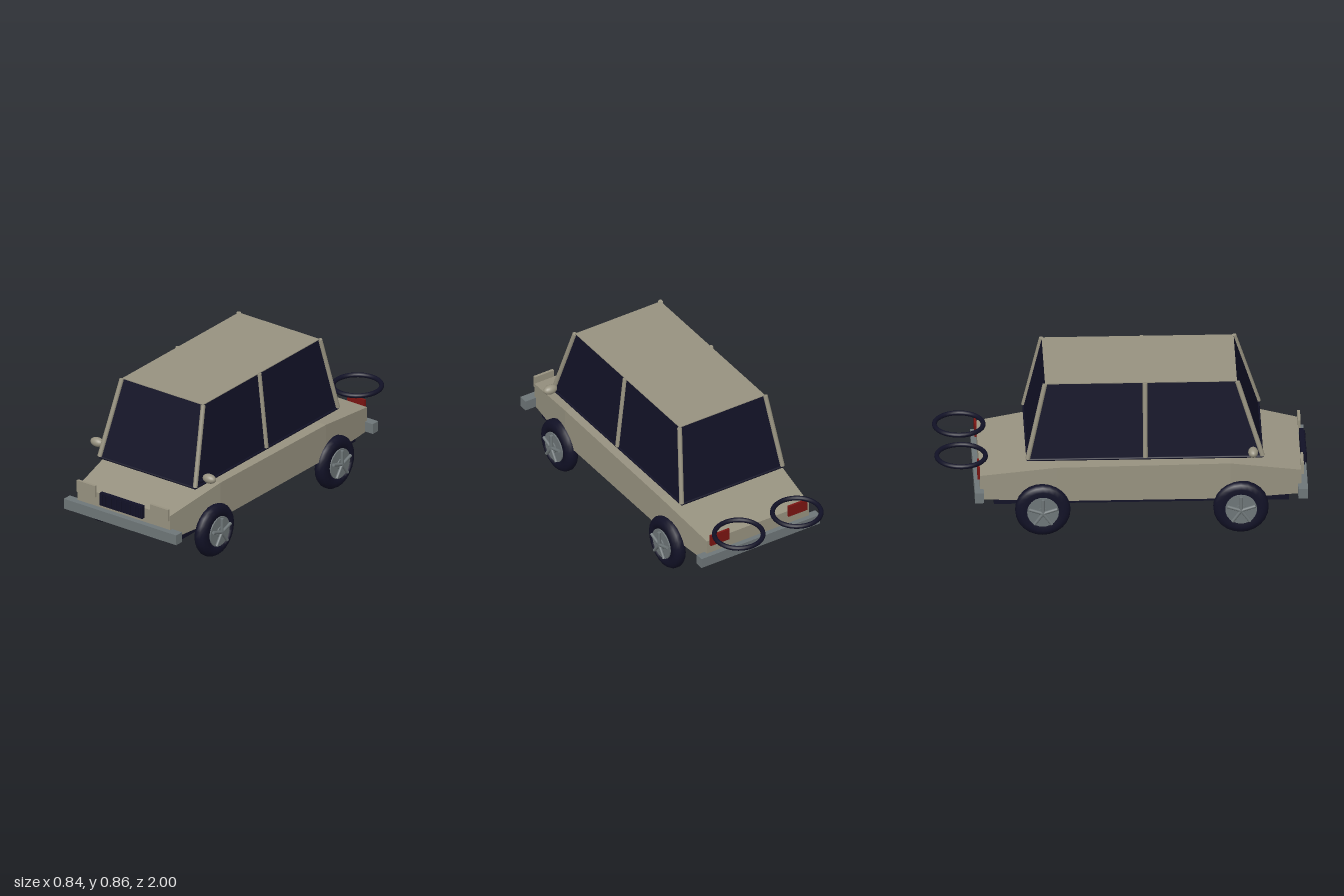
import * as THREE from 'three';
import { ConvexGeometry } from 'three/addons/geometries/ConvexGeometry.js';

const material = (name, color) => {
  const m = new THREE.MeshStandardMaterial({ color });
  m.name = name;
  return m;
};

export function createModel() {
  const car = new THREE.Group();
  car.name = 'car';
  const beige = material('beigePaint', 0x979280);
  const dark = material('darkNavy', 0x111126);
  const grey = material('greyMetal', 0x6e7678);
  const red = material('redLens', 0x7a1412);
  const V = (x, y, z) => new THREE.Vector3(x, y, z);

  const add = (name, geometry, mat, x = 0, y = 0, z = 0, parent = car) => {
    const mesh = new THREE.Mesh(geometry, mat);
    mesh.name = name;
    mesh.position.set(x, y, z);
    parent.add(mesh);
    return mesh;
  };
  const box = (name, mat, w, h, d, x, y, z) =>
    add(name, new THREE.BoxGeometry(w, h, d), mat, x, y, z);
  const rod = (name, mat, a, b, r, parent = car) => {
    const mesh = add(name, new THREE.CylinderGeometry(r, r, a.distanceTo(b), 12), mat, 0, 0, 0, parent);
    mesh.position.copy(a).add(b).multiplyScalar(0.5);
    mesh.quaternion.setFromUnitVectors(V(0, 1, 0), b.clone().sub(a).normalize());
    return mesh;
  };

  // Lower body: cross-sections [z, half width, top height]
  const hull = [];
  for (const [z, w, top] of [[0.96, 0.31, 0.335], [0.58, 0.36, 0.405], [-0.35, 0.36, 0.395], [-0.76, 0.325, 0.335]]) {
    for (const s of [-1, 1]) hull.push(V(s * w, 0.195, z), V(s * w, top, z));
  }
  add('body', new ConvexGeometry(hull), beige);
  box('chassis', dark, 0.61, 0.05, 1.58, 0, 0.18, 0.105);

  // Glass cabin floating just above the body, with a thin roof skin
  const base = { y: 0.425, w: 0.32, front: 0.75, back: -0.505 };
  const top = { y: 0.852, w: 0.272, front: 0.617, back: -0.41 };
  const glass = [];
  for (const l of [base, top]) {
    for (const s of [-1, 1]) glass.push(V(s * l.w, l.y, l.front), V(s * l.w, l.y, l.back));
  }
  add('cabinGlass', new ConvexGeometry(glass), dark);
  box('roof', beige, 2 * top.w, 0.005, top.front - top.back, 0, 0.8535, (top.front + top.back) / 2);
  for (const z of [base.front, base.back]) rod('sillRail', dark, V(-base.w, 0.425, z), V(base.w, 0.425, z), 0.007);

  // Bumpers
  box('frontBumper', grey, 0.755, 0.058, 0.052, 0, 0.225, 0.968);
  box('rearBumper', grey, 0.755, 0.058, 0.048, 0, 0.227, -0.764);

  // Grille with upright slats
  box('grille', dark, 0.286, 0.073, 0.022, 0, 0.317, 0.975);
  for (let i = 0; i < 9; i++) {
    const x = (i - 4) * 0.032;
    rod('grilleSlat', dark, V(x, 0.288, 0.99), V(x, 0.346, 0.99), 0.005);
  }

  // Wheel parts, revolved around the axle
  const tyreProfile = [
    [0.08, -0.032], [0.115, -0.037], [0.138, -0.028], [0.148, -0.012],
    [0.148, 0.012], [0.138, 0.028], [0.115, 0.037], [0.08, 0.032], [0.08, -0.032],
  ].map(([r, h]) => new THREE.Vector2(r, h));
  const tyre = new THREE.LatheGeometry(tyreProfile, 24).rotateZ(-Math.PI / 2);
  const rim = new THREE.CylinderGeometry(0.085, 0.085, 0.08, 24).rotateZ(-Math.PI / 2);
  const cap = new THREE.CylinderGeometry(0.03, 0.03, 0.094, 16).rotateZ(-Math.PI / 2);

  for (const s of [-1, 1]) {
    // Roof pillars
    rod('frontPillar', beige, V(s * 0.321, 0.43, 0.752), V(s * 0.273, 0.853, 0.619), 0.013);
    rod('middlePillar', beige, V(s * 0.321, 0.43, 0.125), V(s * 0.273, 0.853, 0.125), 0.013);
    rod('rearPillar', beige, V(s * 0.321, 0.43, -0.505), V(s * 0.273, 0.853, -0.411), 0.013);
    rod('sillRail', dark, V(s * base.w, 0.425, base.front), V(s * base.w, 0.425, base.back), 0.007);

    // Door mirror on a short stalk
    rod('mirrorStalk', dark, V(s * 0.315, 0.447, 0.7), V(s * 0.37, 0.472, 0.7), 0.009);
    add('mirror', new THREE.SphereGeometry(1, 20, 14), beige, s * 0.377, 0.479, 0.7).scale.set(0.041, 0.026, 0.027);

    // Lamps
    box('headlight', beige, 0.122, 0.068, 0.015, s * 0.246, 0.342, 0.966);
    box('tailLight', red, 0.12, 0.066, 0.012, s * 0.248, 0.338, -0.766);

    // Flat ring behind the tail
    add('rearRing', new THREE.TorusGeometry(0.131, 0.013, 12, 32).rotateX(Math.PI / 2), dark, s * 0.185, 0.387, -0.856);

    // Wheels with five-spoke stars on the outer face
    for (const z of [0.635, -0.425]) {
      const wheel = new THREE.Group();
      wheel.name = z > 0 ? 'frontWheel' : 'rearWheel';
      wheel.position.set(s * 0.36, 0.148, z);
      car.add(wheel);
      add('tyre', tyre, dark, 0, 0, 0, wheel);
      add('rim', rim, grey, 0, 0, 0, wheel);
      add('hubCap', cap, grey, 0, 0, 0, wheel);
      for (let i = 0; i < 5; i++) {
        const a = (i / 5) * Math.PI * 2;
        const end = V(s * 0.052, Math.cos(a) * 0.08, Math.sin(a) * 0.08);
        rod('spoke', grey, V(s * 0.052, 0, 0), end, 0.009, wheel);
      }
    }
  }
  return car;
}
